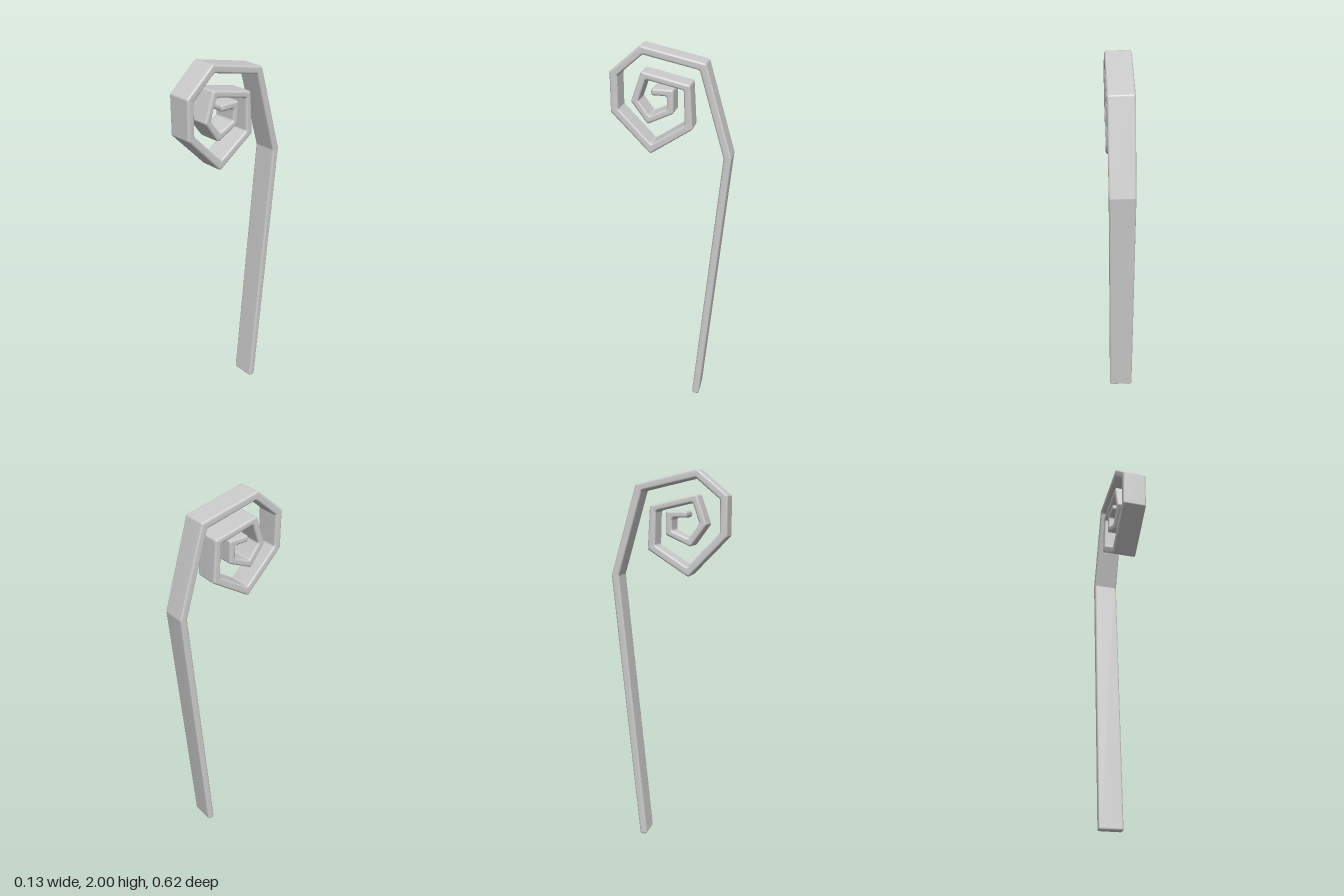
import * as THREE from 'three';
import { mergeVertices } from 'three/addons/utils/BufferGeometryUtils.js';

const V = (x, y) => new THREE.Vector2(x, y);
const left = (d) => V(-d.y, d.x);
const dirTo = (a, b) => b.clone().sub(a).normalize();

// Centre line of the strip in the (z, y) plane, from the foot to the inner end of the coil
const PATH = [
  [-0.143, 0], [-0.288, 1.457], [-0.156, 1.908], [0.146, 1.976], [0.288, 1.857],
  [0.288, 1.672], [0.104, 1.482], [-0.089, 1.606], [-0.08, 1.804], [0.138, 1.854],
  [0.183, 1.726], [0.114, 1.632], [0.004, 1.682], [0.004, 1.774], [0.1, 1.774],
].map(([z, y]) => V(z, y));

const WIDTH = 0.13;
const BEVEL = 0.01;
const CORNER = 0.012;

// Mitred offset of the centre line to one side; the strip thins slightly inside the coil
function offsetLine(side) {
  return PATH.map((p, i) => {
    const a = i > 0 ? dirTo(PATH[i - 1], p) : dirTo(p, PATH[1]);
    const b = i < PATH.length - 1 ? dirTo(p, PATH[i + 1]) : a;
    const n = left(a).add(left(b)).normalize();
    const half = i < 8 ? 0.02 : 0.017;
    return p.clone().addScaledVector(n, (side * half) / n.dot(left(a)));
  });
}

// Replaces each corner of a closed outline with a small arc
function roundCorners(outline, radius, steps) {
  const result = [];
  outline.forEach((p, i) => {
    const a = dirTo(outline.at(i - 1), p);
    const b = dirTo(p, outline[(i + 1) % outline.length]);
    const turn = Math.atan2(a.cross(b), a.dot(b));
    const r = radius * Math.sign(turn);
    const centre = p.clone()
      .addScaledVector(a, -radius * Math.tan(Math.abs(turn) / 2))
      .addScaledVector(left(a), r);
    for (let k = 0; k <= steps; k++) {
      const d = a.clone().rotateAround(V(0, 0), (turn * k) / steps);
      result.push(centre.clone().addScaledVector(left(d), -r));
    }
  });
  return result;
}

export function createModel() {
  const group = new THREE.Group();
  group.name = 'curledStalk';

  const outline = [...offsetLine(-1), ...offsetLine(1).reverse()];
  const shape = new THREE.Shape(roundCorners(outline, CORNER, 3));

  // Strip extruded across x with soft edges
  const depth = WIDTH - 2 * BEVEL;
  let geometry = new THREE.ExtrudeGeometry(shape, {
    depth, steps: 1, bevelEnabled: true, bevelThickness: BEVEL,
    bevelSize: BEVEL, bevelOffset: -BEVEL, bevelSegments: 3,
  });
  geometry.translate(0, 0, -depth / 2);
  geometry.rotateY(-Math.PI / 2);

  // Area-weighted smooth normals keep the faces flat and the bevels soft
  geometry.deleteAttribute('uv');
  geometry.deleteAttribute('normal');
  geometry = mergeVertices(geometry, 1e-5);
  geometry.computeVertexNormals();

  // Stand on the ground
  geometry.computeBoundingBox();
  geometry.translate(0, -geometry.boundingBox.min.y, 0);

  const stalk = new THREE.Mesh(geometry, new THREE.MeshStandardMaterial({ color: 0xcccccc }));
  stalk.name = 'stalkAndCoil';
  group.add(stalk);
  return group;
}
